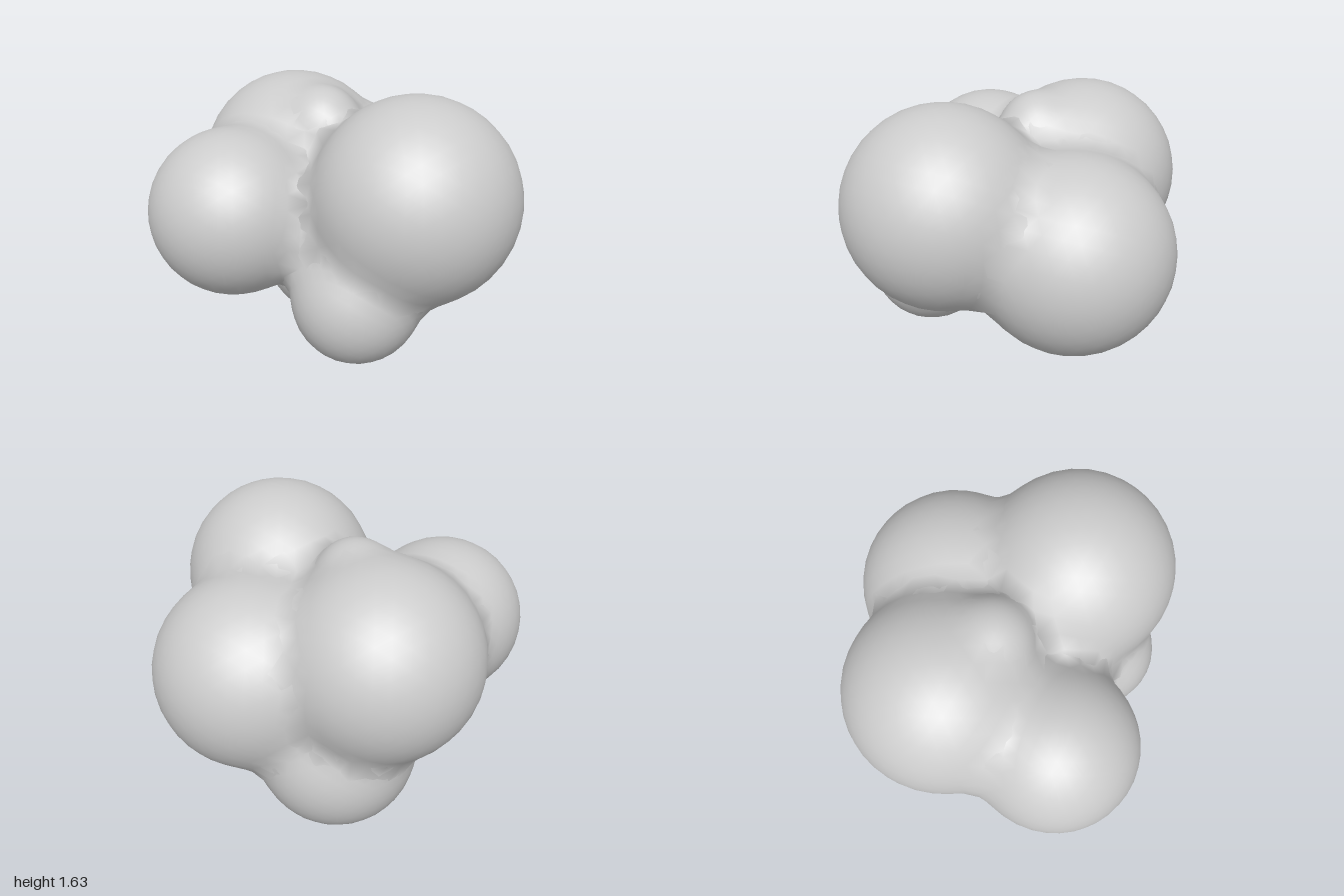
import * as THREE from 'three';

// Lobes of the blob: name, centre, radius
const LOBES = [
  ['upperLeftLobe', [0.46, 1.1, 0.2], 0.54],
  ['backLobe', [0.18, 0.86, -0.41], 0.54],
  ['upperRightLobe', [-0.46, 1.04, -0.14], 0.54],
  ['frontRightLobe', [-0.46, 0.97, 0.5], 0.45],
  ['bottomLobe', [-0.28, 0.45, -0.27], 0.445],
  ['frontLowerLobe', [0.26, 0.61, 0.46], 0.34],
  ['topBump', [-0.18, 1.37, 0.02], 0.19],
  ['lowerFrontBump', [-0.16, 0.52, 0.2], 0.16],
  ['lowerInnerBump', [0.1, 0.38, -0.07], 0.19],
  ['core', [0, 0.95, 0.05], 0.35],
  ['frontBridge', [-0.02, 0.88, 0.35], 0.24],
].map(([name, c, radius]) => ({ name, centre: new THREE.Vector3(...c), radius }));

const BLEND = 0.045; // softness of the creases between lobes
const REACH = 1.22; // how far a lobe may swell into a fillet

// Smooth union of all lobes: negative inside, positive outside
function field(p) {
  let sum = 0;
  for (const l of LOBES) sum += Math.exp((l.radius - p.distanceTo(l.centre)) / BLEND);
  return -BLEND * Math.log(sum);
}

// Outward direction of the blended surface
function gradient(p) {
  const g = new THREE.Vector3();
  for (const l of LOBES) {
    const d = p.clone().sub(l.centre);
    const dist = d.length() || 1e-6;
    g.addScaledVector(d, Math.exp((l.radius - dist) / BLEND) / dist);
  }
  return g.normalize();
}

// A ball whose vertices are pushed out to the blended surface
function makeLobe({ name, centre, radius }, material) {
  const geometry = new THREE.IcosahedronGeometry(1, radius > 0.4 ? 6 : 5);
  const pos = geometry.attributes.position;
  const normal = geometry.attributes.normal;
  const dir = new THREE.Vector3();
  const p = new THREE.Vector3();
  for (let i = 0; i < pos.count; i++) {
    dir.fromBufferAttribute(pos, i).normalize();
    let lo = radius * 0.9;
    let hi = radius * REACH;
    for (let step = 0; step < 16; step++) {
      const mid = (lo + hi) / 2;
      p.copy(centre).addScaledVector(dir, mid);
      if (field(p) < 0) lo = mid;
      else hi = mid;
    }
    const n = gradient(p);
    normal.setXYZ(i, n.x, n.y, n.z);
    p.sub(centre);
    pos.setXYZ(i, p.x, p.y, p.z);
  }
  const mesh = new THREE.Mesh(geometry, material);
  mesh.name = name;
  mesh.position.copy(centre);
  return mesh;
}

export function createModel() {
  const group = new THREE.Group();
  group.name = 'lobedBlob';
  const material = new THREE.MeshStandardMaterial({ color: 0xcccccc });
  for (const lobe of LOBES) group.add(makeLobe(lobe, material));
  return group;
}
